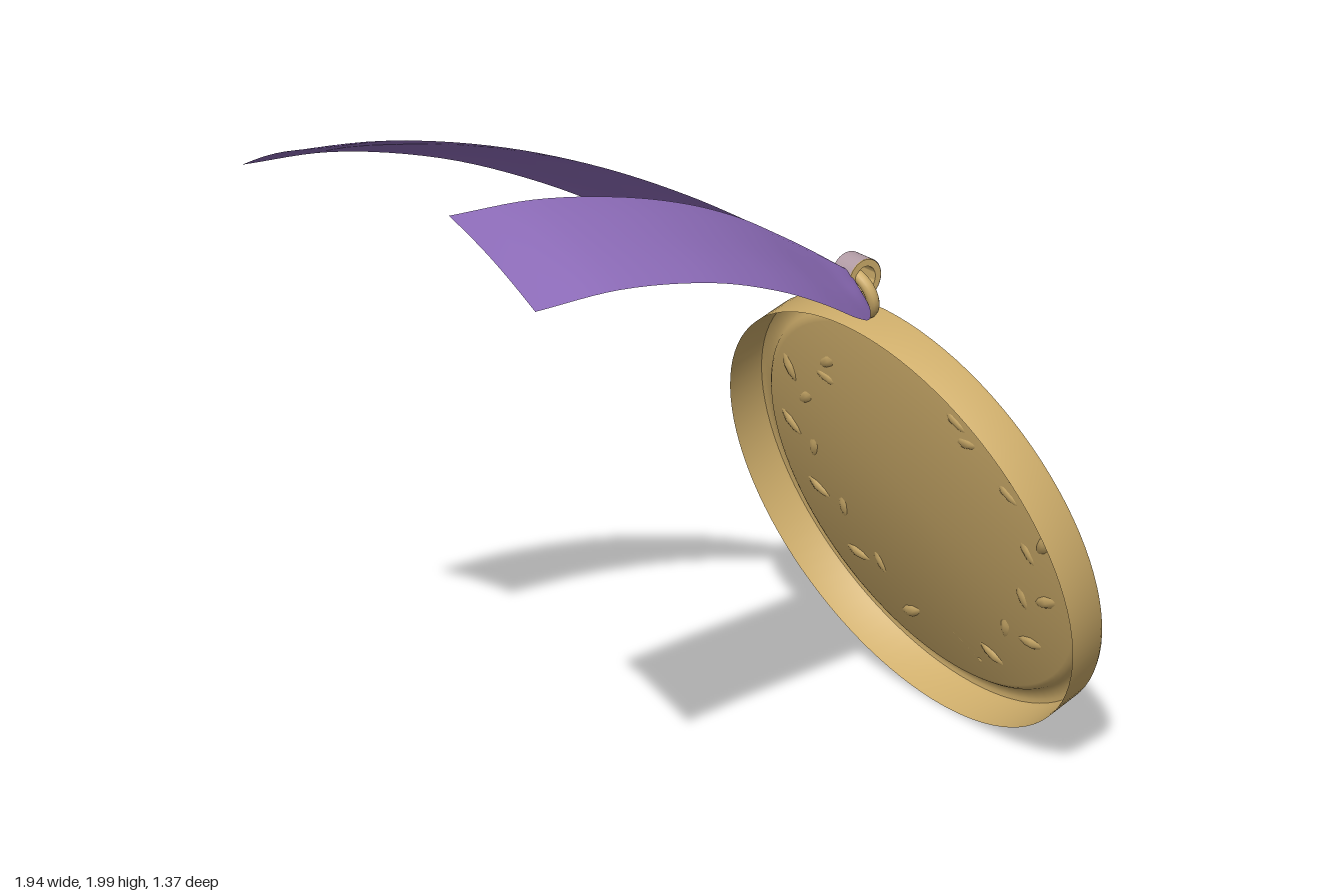
import * as THREE from 'three';
import { toCreasedNormals } from 'three/addons/utils/BufferGeometryUtils.js';

const V = (x, y, z) => new THREE.Vector3(x, y, z);
const curve = (pts) => new THREE.CatmullRomCurve3(pts.map((p) => V(...p)), false, 'centripetal');

export function createModel() {
  const gold = new THREE.MeshStandardMaterial({ color: 0xcfae6b, side: THREE.DoubleSide });
  gold.name = 'gold';
  const purple = new THREE.MeshStandardMaterial({ color: 0x916fbe, side: THREE.DoubleSide });
  purple.name = 'ribbon purple';
  const mauve = new THREE.MeshStandardMaterial({ color: 0xb39da6, side: THREE.DoubleSide });
  mauve.name = 'band mauve';

  const model = new THREE.Group();
  model.name = 'medal';
  const add = (parent, geo, mat, name) => {
    const mesh = new THREE.Mesh(geo, mat);
    mesh.name = name;
    parent.add(mesh);
    return mesh;
  };

  // Leaning disc assembly: local z is the face normal, origin at the back centre
  const disc = new THREE.Group();
  disc.name = 'disc';
  disc.position.set(0.66, 0.645, 0);
  disc.rotation.set(-0.305, Math.PI / 2, 0, 'YXZ');
  model.add(disc);

  // Shell with rounded rim and sunken face, open at the back
  const profile = [[0.683, 0], [0.683, 0.106], [0.678, 0.116], [0.667, 0.121], [0.645, 0.121],
    [0.63, 0.113], [0.622, 0.102], [0.612, 0.094], [0.6, 0.09], [0, 0.09]].map((p) => new THREE.Vector2(...p));
  const shell = toCreasedNormals(new THREE.LatheGeometry(profile, 96), 0.6);
  shell.rotateX(Math.PI / 2);
  add(disc, shell, gold, 'rimAndFace').scale.y = 0.978;

  // Pointed leaf growing along +y
  const leafGeo = new THREE.LatheGeometry(
    [[0, 0], [0.011, 0.014], [0.022, 0.042], [0.027, 0.074], [0.022, 0.108], [0.011, 0.138], [0, 0.152]]
      .map((p) => new THREE.Vector2(...p)), 12);

  // Two mirrored laurel branches
  const stemPts = [[0.106, -0.51], [-0.005, -0.445], [-0.16, -0.415], [-0.3, -0.33], [-0.43, -0.13],
    [-0.48, 0.04], [-0.455, 0.21], [-0.395, 0.31], [-0.315, 0.36]];
  for (const s of [1, -1]) {
    const branch = new THREE.Group();
    branch.name = s > 0 ? 'laurelBranchA' : 'laurelBranchB';
    disc.add(branch);
    const stem = curve(stemPts.map(([x, y], i) => [s * x, y, i < 2 ? 0.112 + s * 0.008 : 0.106]));
    add(branch, new THREE.TubeGeometry(stem, 60, 0.014, 8), gold, 'stem');
    const tail = add(branch, new THREE.SphereGeometry(0.017, 10, 8), gold, 'stemEnd');
    tail.position.copy(stem.getPointAt(0));

    const addLeaf = (t, turn, lift) => {
      const p = stem.getPointAt(t), d = stem.getTangentAt(t);
      const leaf = add(branch, leafGeo, gold, 'leaf');
      leaf.position.set(p.x, p.y, 0.1);
      leaf.rotation.set(lift, 0, Math.atan2(-d.x, d.y) + turn, 'ZXY');
    };
    const count = 10;
    for (let i = 0; i < count; i++) {
      const t = 0.19 + (0.75 * i) / (count - 1);
      addLeaf(t, 0.62 * s, 0.1 + 0.18 * (i % 2));
      addLeaf(t + 0.03, -0.68 * s, 0.3 - 0.15 * (i % 2));
    }
    addLeaf(1, 0, 0.15);
  }

  // Hanging loop in the plane of the disc
  const loop = add(disc, new THREE.TorusGeometry(0.064, 0.017, 12, 36), gold, 'hangingLoop');
  loop.position.set(0, 0.735, 0.068);

  // Wide link around the loop, with a coloured outer face
  const link = new THREE.Group();
  link.name = 'ribbonLink';
  link.position.set(0.505, 1.412, -0.003);
  model.add(link);
  const linkShape = new THREE.Shape().absarc(0, 0, 0.054, 0, Math.PI * 2);
  linkShape.holes.push(new THREE.Path().absarc(0, 0, 0.035, 0, Math.PI * 2, true));
  const linkGeo = new THREE.ExtrudeGeometry(linkShape, { depth: 0.072, bevelEnabled: false, curveSegments: 24 });
  linkGeo.translate(0, 0, -0.036);
  add(link, toCreasedNormals(linkGeo, 0.6), gold, 'linkRing');
  add(link, new THREE.CylinderGeometry(0.056, 0.056, 0.07, 32, 1, true).rotateX(Math.PI / 2), mauve, 'linkBand');

  // Mirrored ribbon strips, lofted between an inner and an outer edge
  const inner = [[-0.97, 2, 0.29], [-0.72, 1.975, 0.265], [-0.45, 1.91, 0.225], [-0.2, 1.82, 0.167],
    [0.02, 1.715, 0.1], [0.2, 1.61, 0.04], [0.33, 1.53, 0.004], [0.42, 1.47, 0.003], [0.48, 1.43, 0.003]];
  const outer = [[-0.97, 1.87, 0.62], [-0.72, 1.855, 0.6], [-0.42, 1.785, 0.555], [-0.17, 1.685, 0.495],
    [0.03, 1.58, 0.425], [0.24, 1.455, 0.315], [0.36, 1.395, 0.22], [0.45, 1.38, 0.11], [0.485, 1.39, 0.02]];
  const N = 48, M = 10;
  for (const s of [1, -1]) {
    const a = curve(inner), b = curve(outer);
    const pos = [], index = [];
    for (let i = 0; i <= N; i++) {
      const t = i / N, pa = a.getPoint(t), pb = b.getPoint(t);
      for (let j = 0; j <= M; j++) {
        const k = j / M, p = pa.clone().lerp(pb, k);
        // gentle bow, plus a soft pleat towards the gathered end
        p.y += 0.01 * Math.sin(Math.PI * k) + 0.03 * t * t * (1 - t) * Math.sin(3 * Math.PI * k);
        pos.push(p.x, p.y, s * p.z);
        if (i < N && j < M) {
          const q = i * (M + 1) + j, r = q + M + 1;
          if (s > 0) index.push(q, q + 1, r, r, q + 1, r + 1);
          else index.push(q, r, q + 1, r, r + 1, q + 1);
        }
      }
    }
    const geo = new THREE.BufferGeometry();
    geo.setAttribute('position', new THREE.Float32BufferAttribute(pos, 3));
    geo.setIndex(index);
    geo.computeVertexNormals();
    add(model, geo, purple, s > 0 ? 'ribbonFront' : 'ribbonBack');
  }
  return model;
}
